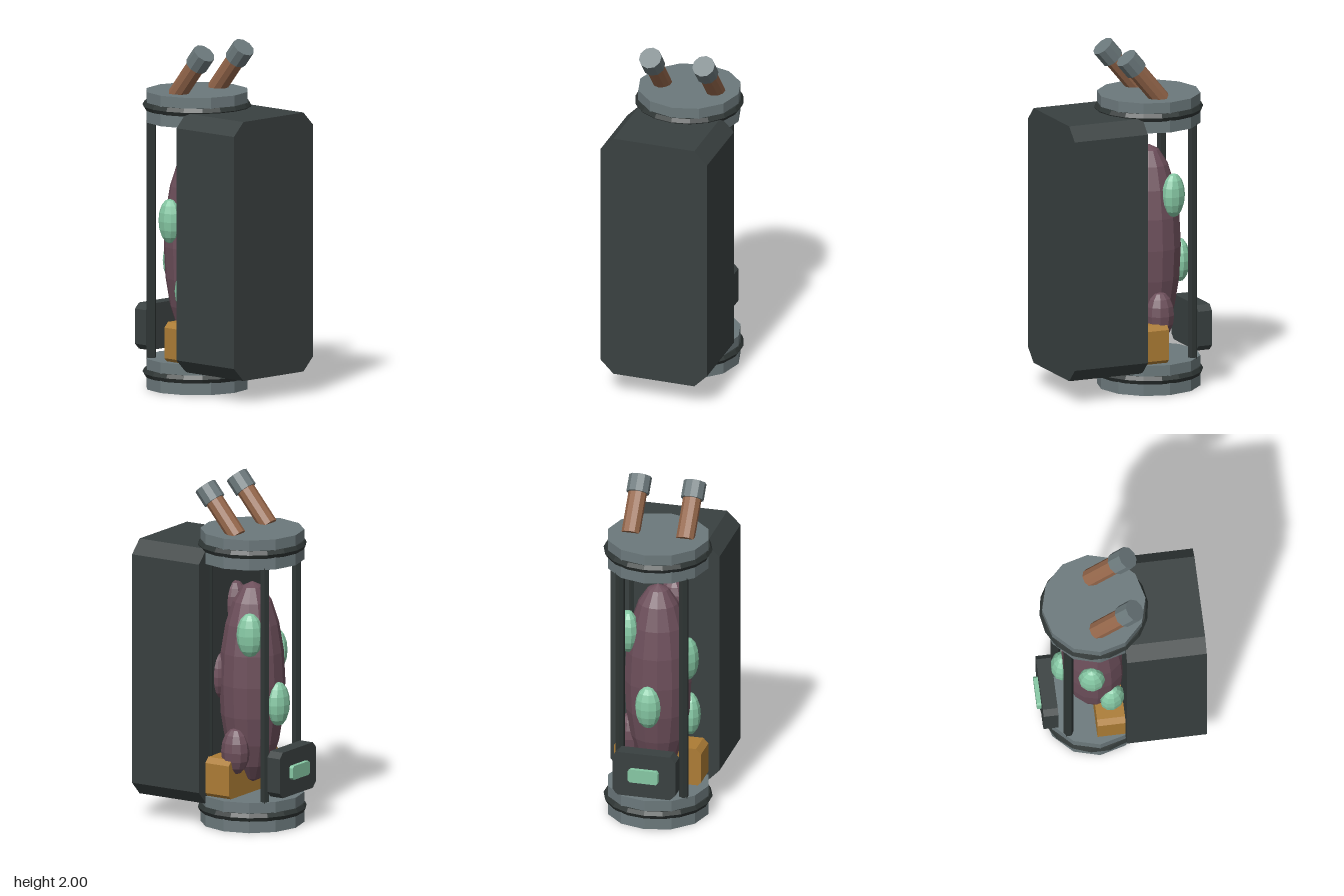
import * as THREE from 'three';

const mat = (name, color) => {
  const m = new THREE.MeshStandardMaterial({ color, flatShading: true });
  m.name = name;
  return m;
};

export function createModel() {
  const casing = mat('dark casing', 0x394040);
  const frame = mat('dark frame', 0x2f3635);
  const steel = mat('steel', 0x6c797c);
  const copper = mat('copper', 0x95674b);
  const ochre = mat('ochre', 0xac7c35);
  const flesh = mat('mauve flesh', 0x6d4f5b);
  const glow = mat('pale green', 0x86c8a4);

  const model = new THREE.Group();
  const add = (name, geometry, material, x = 0, y = 0, z = 0, parent = model) => {
    const mesh = new THREE.Mesh(geometry, material);
    mesh.name = name;
    mesh.position.set(x, y, z);
    parent.add(mesh);
    return mesh;
  };

  // Box with its four x-y corners cut off, running from z0 to z1
  const cutBox = (name, material, halfW, y0, y1, z0, z1, c) => {
    const pts = [
      [-halfW + c, y0], [halfW - c, y0], [halfW, y0 + c], [halfW, y1 - c],
      [halfW - c, y1], [-halfW + c, y1], [-halfW, y1 - c], [-halfW, y0 + c],
    ].map(([x, y]) => new THREE.Vector2(x, y));
    const g = new THREE.ExtrudeGeometry(new THREE.Shape(pts), { depth: z1 - z0, bevelEnabled: false });
    return add(name, g, material, 0, 0, z0);
  };

  cutBox('mainCasing', casing, 0.32, 0.13, 1.615, 0.015, 0.47, 0.077);
  cutBox('ochreBlock', ochre, 0.255, 0.165, 0.4, -0.145, 0.02, 0.03);
  cutBox('controlPanel', casing, 0.185, 0.205, 0.47, -0.445, -0.36, 0.032);
  cutBox('panelScreen', glow, 0.088, 0.3, 0.38, -0.47, -0.444, 0.012);

  // Tank: end caps with raised rings
  const tank = new THREE.Group();
  tank.name = 'tank';
  tank.position.z = -0.135;
  model.add(tank);
  const ringProfile = [[0.27, -0.023], [0.297, -0.023], [0.31, 0], [0.297, 0.023], [0.27, 0.023]]
    .map(([r, y]) => new THREE.Vector2(r, y));
  for (const [label, y] of [['bottom', 0.0875], ['top', 1.6175]]) {
    add(label + 'Cap', new THREE.CylinderGeometry(0.295, 0.295, 0.175, 12), steel, 0, y, 0, tank);
    add(label + 'Ring', new THREE.LatheGeometry(ringProfile, 18), frame, 0, y + 0.003, 0, tank);
  }

  // Four upright rods between the caps
  for (let i = 0; i < 4; i++) {
    const a = 0.86 + (i * Math.PI) / 2;
    add('rod', new THREE.CylinderGeometry(0.028, 0.028, 1.37, 6), frame,
      0.26 * Math.sin(a), 0.853, 0.26 * Math.cos(a), tank);
  }

  // Specimen body with lobes and glowing pods: [x, y, z]
  const body = add('specimenBody', new THREE.SphereGeometry(1, 14, 10), flesh, 0, 0.815, 0, tank);
  body.scale.set(0.195, 0.585, 0.185);
  const bump = (name, material, x, y, z, wide, tall, deep) => {
    const m = add(name, new THREE.SphereGeometry(1, 10, 8), material, x, y, z, tank);
    m.scale.set(wide, tall, deep);
    m.rotation.y = Math.atan2(x, z);
  };
  for (const p of [[0.165, 0.44, 0.005], [0.09, 0.85, 0.165], [-0.05, 1.24, 0.15]])
    bump('lobe', flesh, ...p, 0.085, 0.135, 0.075);
  for (const p of [[0.153, 1.125, -0.085], [-0.185, 0.97, -0.035], [0.01, 0.71, -0.185], [-0.165, 0.575, 0.085]])
    bump('glowPod', glow, ...p, 0.076, 0.128, 0.06);

  // Pair of slanted pipes with end collars
  for (const x of [-0.16, 0.16]) {
    const pipe = new THREE.Group();
    pipe.name = 'pipe';
    pipe.position.set(x, 1.695, -0.139);
    pipe.rotation.x = 0.695;
    model.add(pipe);
    add('pipeTube', new THREE.CylinderGeometry(0.053, 0.053, 0.3, 10), copper, 0, 0.15, 0, pipe);
    add('pipeCollar', new THREE.CylinderGeometry(0.0655, 0.0655, 0.1, 10), steel, 0, 0.29, 0, pipe);
  }
  return model;
}
